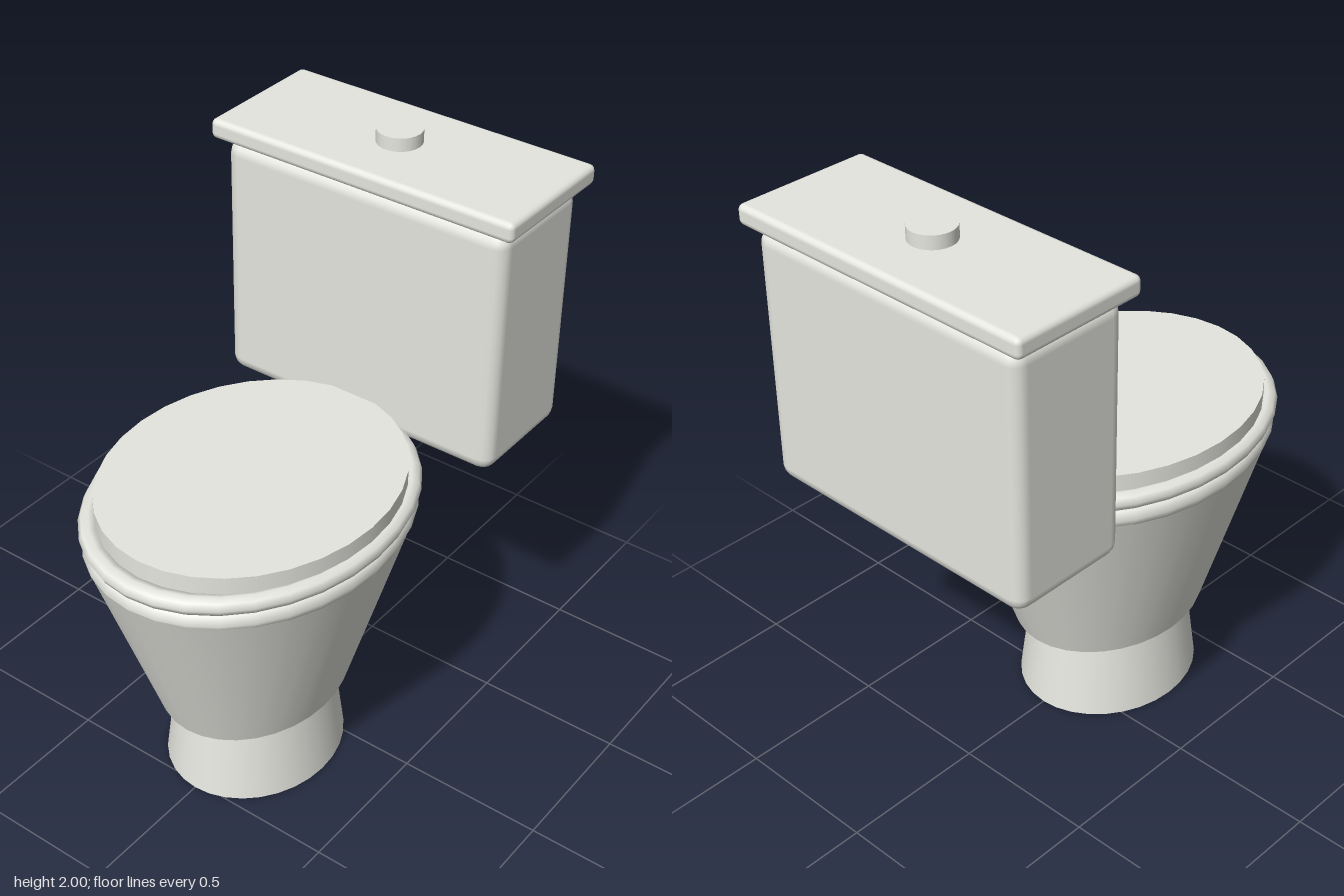
import * as THREE from 'three';
import { RoundedBoxGeometry } from 'three/addons/geometries/RoundedBoxGeometry.js';

export function createModel() {
  const model = new THREE.Group();
  model.name = 'toilet';

  const ceramic = new THREE.MeshStandardMaterial({ color: 0xe6e6e0 });
  ceramic.name = 'ceramic';

  const SIDES = 32;
  const BOWL_Z = 0.19;
  const TANK_Z = -0.56;

  function add(name, geometry, x, y, z) {
    const mesh = new THREE.Mesh(geometry, ceramic);
    mesh.name = name;
    mesh.position.set(x, y, z);
    model.add(mesh);
    return mesh;
  }

  // Elliptical frustum from y0 to y1; stretch is depth over width
  function ovalDrum(name, rBottom, rTop, y0, y1, stretch) {
    const geo = new THREE.CylinderGeometry(rTop, rBottom, y1 - y0, SIDES);
    geo.scale(1, 1, stretch);
    return add(name, geo, 0, (y0 + y1) / 2, BOWL_Z);
  }

  // Elliptical ring lying flat, given its outer half width
  function ovalRing(name, outer, tube, y, stretch) {
    const geo = new THREE.TorusGeometry(outer - tube, tube, 8, SIDES);
    geo.rotateX(Math.PI / 2);
    geo.scale(1, 1, stretch);
    return add(name, geo, 0, y, BOWL_Z);
  }

  // Pedestal and bowl
  ovalDrum('pedestal', 0.285, 0.25, 0, 0.3, 1.16);
  ovalDrum('bowl', 0.287, 0.478, 0.29, 0.97, 1.255);
  ovalRing('bowlRim', 0.483, 0.04, 0.972, 1.245);

  // Seat ring and closed cover
  ovalRing('seat', 0.49, 0.03, 1.037, 1.245);
  ovalDrum('seatCover', 0.456, 0.456, 1.05, 1.12, 1.195);

  // Bracket joining bowl and tank
  add('tankBracket', new THREE.BoxGeometry(0.3, 0.31, 0.27), 0, 0.885, -0.255);

  // Tank with overhanging lid and flush button
  add('tank', new RoundedBoxGeometry(1.05, 0.865, 0.43, 2, 0.05), 0, 1.4525, TANK_Z);
  add('tankLid', new RoundedBoxGeometry(1.125, 0.068, 0.48, 2, 0.02), 0, 1.921, TANK_Z);
  add('flushButton', new THREE.CylinderGeometry(0.075, 0.075, 0.06, 24), 0, 1.97, TANK_Z);

  return model;
}
